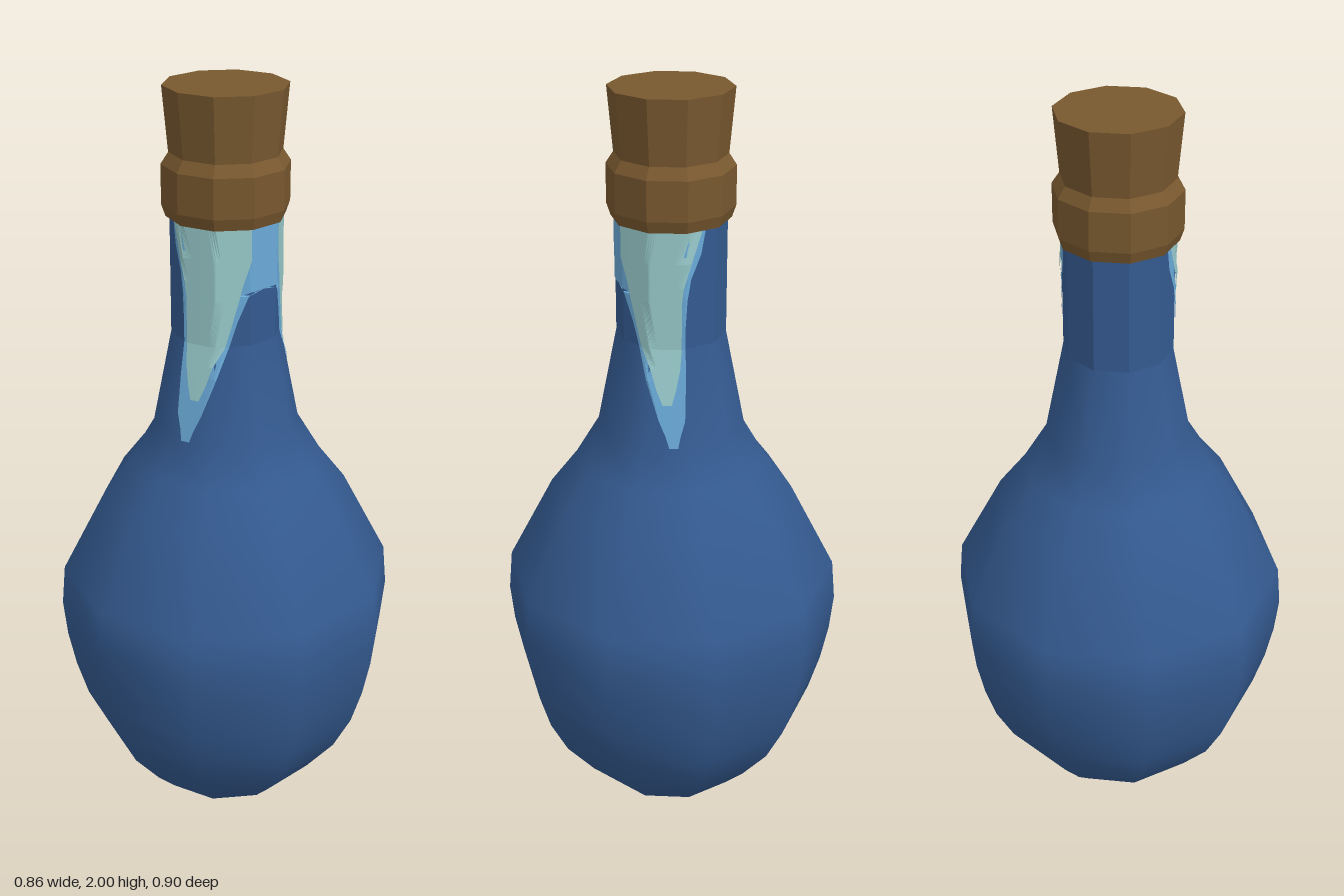
import * as THREE from 'three';

const SIDES = 10;
const STEP = (Math.PI * 2) / SIDES;

const glass = new THREE.MeshStandardMaterial({ color: 0x345a90 });
glass.name = 'blueGlass';
const cork = new THREE.MeshStandardMaterial({ color: 0x78582f });
cork.name = 'cork';
const sky = new THREE.MeshStandardMaterial({ color: 0x6aaad8 });
sky.name = 'lightBlue';
const pale = new THREE.MeshStandardMaterial({ color: 0x98cacb });
pale.name = 'paleTeal';

// Outline of the bottle, as [radius, height]
const bodyProfile = [
  [0.14, 0], [0.2, 0.04], [0.26, 0.1], [0.34, 0.2], [0.39, 0.3], [0.42, 0.4],
  [0.44, 0.5], [0.45, 0.6], [0.44, 0.71], [0.32, 0.94], [0.25, 1.03], [0.19, 1.13], [0.14, 1.38],
];
const neckProfile = [[0.14, 1.38], [0.14, 1.7]];

function lathe(profile, flat) {
  const g = new THREE.LatheGeometry(profile.map(([r, y]) => new THREE.Vector2(r, y)), SIDES);
  if (!flat) return g;
  const faceted = g.toNonIndexed();
  faceted.computeVertexNormals();
  return faceted;
}

function part(name, geometry, material) {
  const mesh = new THREE.Mesh(geometry, material);
  mesh.name = name;
  return mesh;
}

// Point just outside the ten-sided neck and shoulder
function onBottle(degrees, y, lift) {
  const r = y >= 1.38 ? 0.14 : 0.14 + (0.05 * (1.38 - y)) / 0.25;
  const a = THREE.MathUtils.degToRad(degrees);
  const local = a - (Math.floor(a / STEP) + 0.5) * STEP;
  const d = (r * Math.cos(STEP / 2)) / Math.cos(local) + lift;
  return [Math.sin(a) * d, y, Math.cos(a) * d];
}

// Thin painted drip: rows of [height, start angle, end angle], top to bottom
function drip(rows, lift, back) {
  const columns = 36;
  const positions = [];
  const corner = (row, i) => {
    const [x, y, z] = onBottle(row[1] + ((row[2] - row[1]) * i) / columns, row[0], lift);
    return [x, y, back ? -z : z];
  };
  for (let j = 0; j < rows.length - 1; j++) {
    for (let i = 0; i < columns; i++) {
      const a = corner(rows[j], i);
      const b = corner(rows[j + 1], i);
      const c = corner(rows[j + 1], i + 1);
      const d = corner(rows[j], i + 1);
      positions.push(...(back ? [a, c, b, a, d, c] : [a, b, c, a, c, d]).flat());
    }
  }
  const g = new THREE.BufferGeometry();
  g.setAttribute('position', new THREE.Float32BufferAttribute(positions, 3));
  g.computeVertexNormals();
  return g;
}

const skyRows = [
  [1.69, -24, 90], [1.62, -18, 90], [1.56, -6, 90], [1.52, -3, 90], [1.51, -2, 70], [1.44, 0, 58],
  [1.38, 0, 50], [1.3, 1, 38], [1.2, 3, 25], [1.16, 7, 19], [1.13, 9, 16],
];
const paleRows = [
  [1.69, -20, 72], [1.6, -6, 72], [1.54, 2, 64], [1.5, 4, 60], [1.38, 4, 46],
  [1.33, 6, 34], [1.28, 10, 28], [1.24, 14, 22],
];

export function createModel() {
  const model = new THREE.Group();
  model.name = 'corkedBottle';

  // Bottle
  model.add(part('body', lathe(bodyProfile, false), glass));
  model.add(part('neck', lathe(neckProfile, true), glass));
  const base = new THREE.CircleGeometry(0.14, SIDES, Math.PI / 2);
  base.rotateX(Math.PI / 2);
  model.add(part('base', base, glass));

  // Drips on the front and back of the neck
  for (const back of [false, true]) {
    const side = back ? 'Back' : 'Front';
    model.add(part('lightDrip' + side, drip(skyRows, 0.003, back), sky));
    model.add(part('paleDrip' + side, drip(paleRows, 0.006, back), pale));
  }

  // Cork collar and stopper
  const collar = [[0.12, 1.68], [0.15, 1.68], [0.16, 1.71], [0.16, 1.81], [0.14, 1.84], [0.1, 1.84]];
  model.add(part('corkCollar', lathe(collar, true), cork));
  const stopper = [[0.14, 1.83], [0.155, 2], [0, 2]];
  model.add(part('corkStopper', lathe(stopper, true), cork));

  return model;
}
